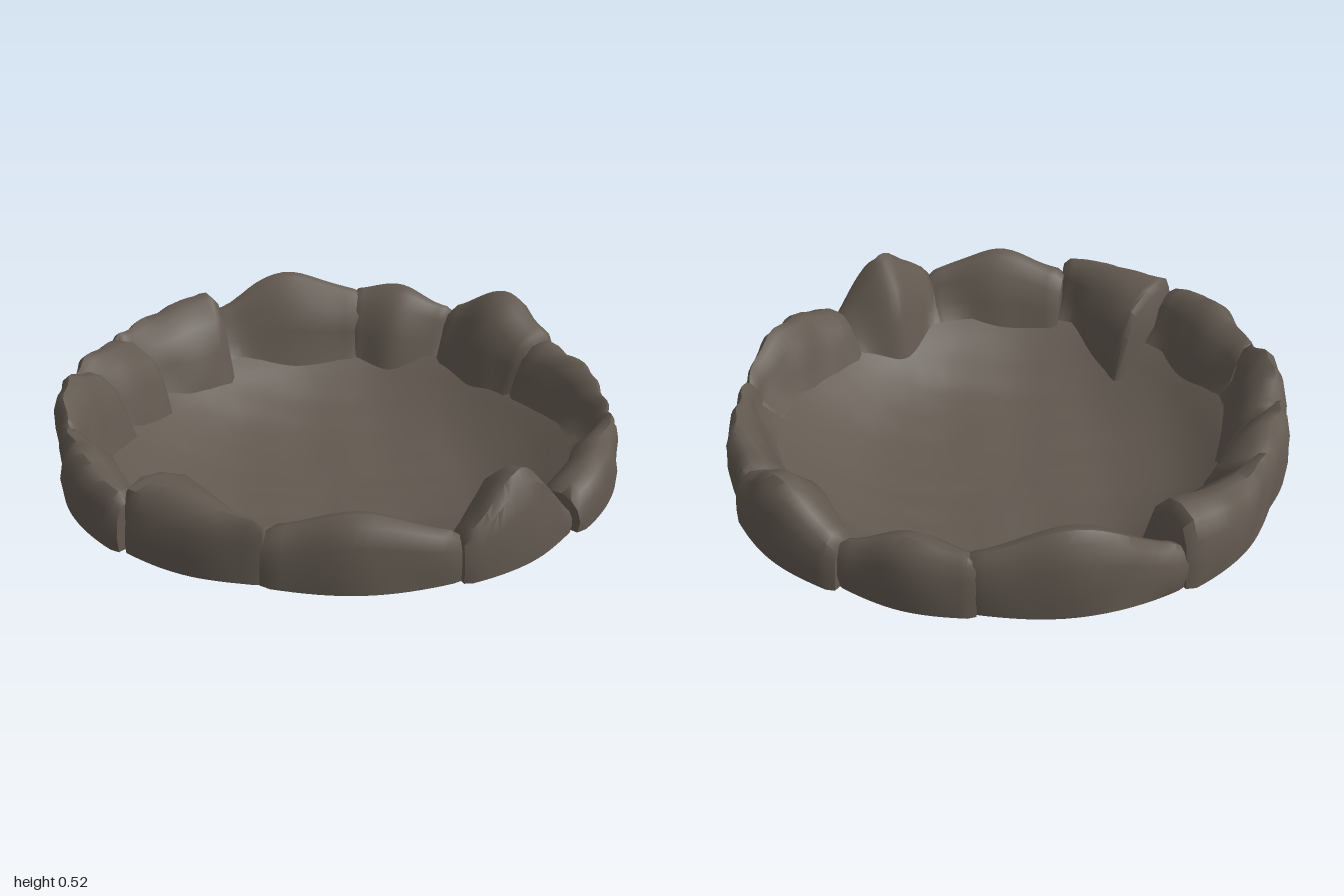
import * as THREE from 'three';
import { mergeVertices, toCreasedNormals } from 'three/addons/utils/BufferGeometryUtils.js';

const stoneMaterial = new THREE.MeshStandardMaterial({ color: 0x625950, side: THREE.DoubleSide });
stoneMaterial.name = 'grey brown stone';

// Bowl profile: radius, height
const bowlProfile = [
  [0, 0.01], [0.3, 0.025], [0.43, 0.044], [0.51, 0.065],
  [0.59, 0.098], [0.68, 0.15], [0.76, 0.208], [0.83, 0.255],
];

function bowlHeight(r) {
  const i = bowlProfile.findIndex(([radius]) => radius >= r);
  const [r0, y0] = bowlProfile[i - 1], [r1, y1] = bowlProfile[i];
  return y0 + (y1 - y0) * (r - r0) / (r1 - r0);
}

// Smooth repeatable unevenness
const bumps = (x, y, z) =>
  Math.sin(x * 17 + y * 9 + 1.3) * Math.sin(z * 15 - y * 11 + 0.4) * 0.6 +
  Math.sin(x * 31 - z * 27 + y * 23) * 0.4;

// Smooth curve through evenly spaced values
function through(...values) {
  const curve = new THREE.SplineCurve(values.map((v, i) => new THREE.Vector2(i, v)));
  return t => curve.getPoint(t).y;
}

// Each stone: start and end angle (degrees from +x towards +z), crest height at
// start, middle and end, outer radius at both ends, inner radius at three points
const stones = [
  [-14, 15, 0.42, 0.53, 0.42, 0.98, 0.99, 0.82, 0.77, 0.79],
  [14.5, 52, 0.41, 0.41, 0.38, 0.96, 0.93, 0.79, 0.82, 0.88],
  [50, 88, 0.38, 0.45, 0.38, 0.93, 0.98, 0.88, 0.81, 0.8],
  [87.5, 115, 0.31, 0.53, 0.4, 0.95, 0.99, 0.82, 0.74, 0.85],
  [114.5, 149.5, 0.4, 0.48, 0.41, 0.97, 0.96, 0.88, 0.8, 0.8],
  [149, 177, 0.45, 0.47, 0.47, 0.95, 0.98, 0.87, 0.74, 0.67],
  [176.5, 209, 0.43, 0.46, 0.42, 1, 0.95, 0.86, 0.8, 0.83],
  [207, 235, 0.43, 0.49, 0.43, 0.94, 0.95, 0.86, 0.8, 0.76],
  [230, 255, 0.44, 0.47, 0.43, 0.95, 0.95, 0.84, 0.76, 0.74],
  [251, 282, 0.46, 0.47, 0.51, 0.95, 0.99, 0.84, 0.76, 0.75],
  [281, 323, 0.39, 0.53, 0.44, 0.97, 0.93, 0.86, 0.77, 0.79],
  [320, 346.5, 0.45, 0.48, 0.41, 0.95, 0.95, 0.8, 0.76, 0.86],
];

// Open-bottomed stone shell swept around the ring
function makeStone([start, end, h0, h1, h2, o0, o1, i0, i1, i2], index) {
  const height = through(h0, h1, h2);
  const outer = through(o0, (o0 + o1) / 2 + 0.012, o1);
  const inner = through(i0, i1, i2);
  const crest = through(0.28 + 0.1 * Math.sin(index * 2.1), 0.3, 0.3 + 0.1 * Math.sin(index * 3.7));
  const base = 0.25, segments = 18, rings = [];

  // Cross-section from the outer foot over the crest and down the inner face
  const section = t => {
    const ro = outer(t), ri = inner(t), w = ro - ri, h = height(t) - base, c = crest(t);
    return [
      [ro, base], [ro, base + h * 0.3], [ro - w * 0.04, base + h * 0.65],
      [ro - w * c * 0.45, base + h * 0.9], [ro - w * c, base + h],
      [ro - w * (c + 0.22), base + h * 0.95], [ri + w * 0.16, base + h * 0.68],
      [ri, base + h * 0.25],
    ];
  };
  const addRing = (t, shrink) => {
    const a = THREE.MathUtils.degToRad(start + (end - start) * t);
    const mid = (outer(t) + inner(t)) / 2;
    const ring = section(t).map(([r, y], j) => {
      r = mid + (r - mid) * shrink;
      y = base + (y - base) * shrink;
      const x = r * Math.cos(a), z = r * Math.sin(a);
      const n = j === 0 ? 0 : bumps(x, y, z + index) * 0.011;
      return [x + n * Math.cos(a), y + n * 0.7, z + n * Math.sin(a)];
    });
    // The inner foot always lands on the bowl
    const foot = Math.min(mid + (inner(t) - 0.035 - mid) * shrink, 0.8);
    ring.push([foot * Math.cos(a), bowlHeight(foot), foot * Math.sin(a)]);
    rings.push(ring);
  };

  // Collapsed end rings close the two sides
  addRing(0, 0.02);
  addRing(0, 0.88);
  for (let i = 1; i < segments; i++) addRing(i / segments, 1);
  addRing(1, 0.88);
  addRing(1, 0.02);

  const count = rings[0].length, indices = [];
  for (let i = 0; i < rings.length - 1; i++) {
    for (let j = 0; j < count - 1; j++) {
      const a = i * count + j, b = a + count;
      indices.push(a, a + 1, b, a + 1, b + 1, b);
    }
  }
  const geometry = new THREE.BufferGeometry();
  geometry.setAttribute('position', new THREE.Float32BufferAttribute(rings.flat(2), 3));
  geometry.setIndex(indices);
  const mesh = new THREE.Mesh(toCreasedNormals(geometry, 0.9), stoneMaterial);
  mesh.name = 'rimStone' + (index + 1);
  return mesh;
}

// Shallow, uneven bowl
function makeBowl() {
  const points = bowlProfile.map(([r, y]) => new THREE.Vector2(r, y));
  let geometry = new THREE.LatheGeometry(new THREE.SplineCurve(points).getPoints(21), 56);
  geometry.deleteAttribute('uv');
  geometry.deleteAttribute('normal');
  geometry = mergeVertices(geometry, 1e-4);
  const p = geometry.attributes.position;
  for (let i = 0; i < p.count; i++) {
    const x = p.getX(i), z = p.getZ(i);
    p.setY(i, Math.max(0, p.getY(i) + bumps(x, 0, z) * 0.007));
  }
  geometry.computeVertexNormals();
  const mesh = new THREE.Mesh(geometry, stoneMaterial);
  mesh.name = 'bowl';
  return mesh;
}

export function createModel() {
  const model = new THREE.Group();
  model.name = 'stoneRingBowl';
  const ring = new THREE.Group();
  ring.name = 'stoneRing';
  stones.forEach((stone, i) => ring.add(makeStone(stone, i)));
  model.add(makeBowl(), ring);
  return model;
}
